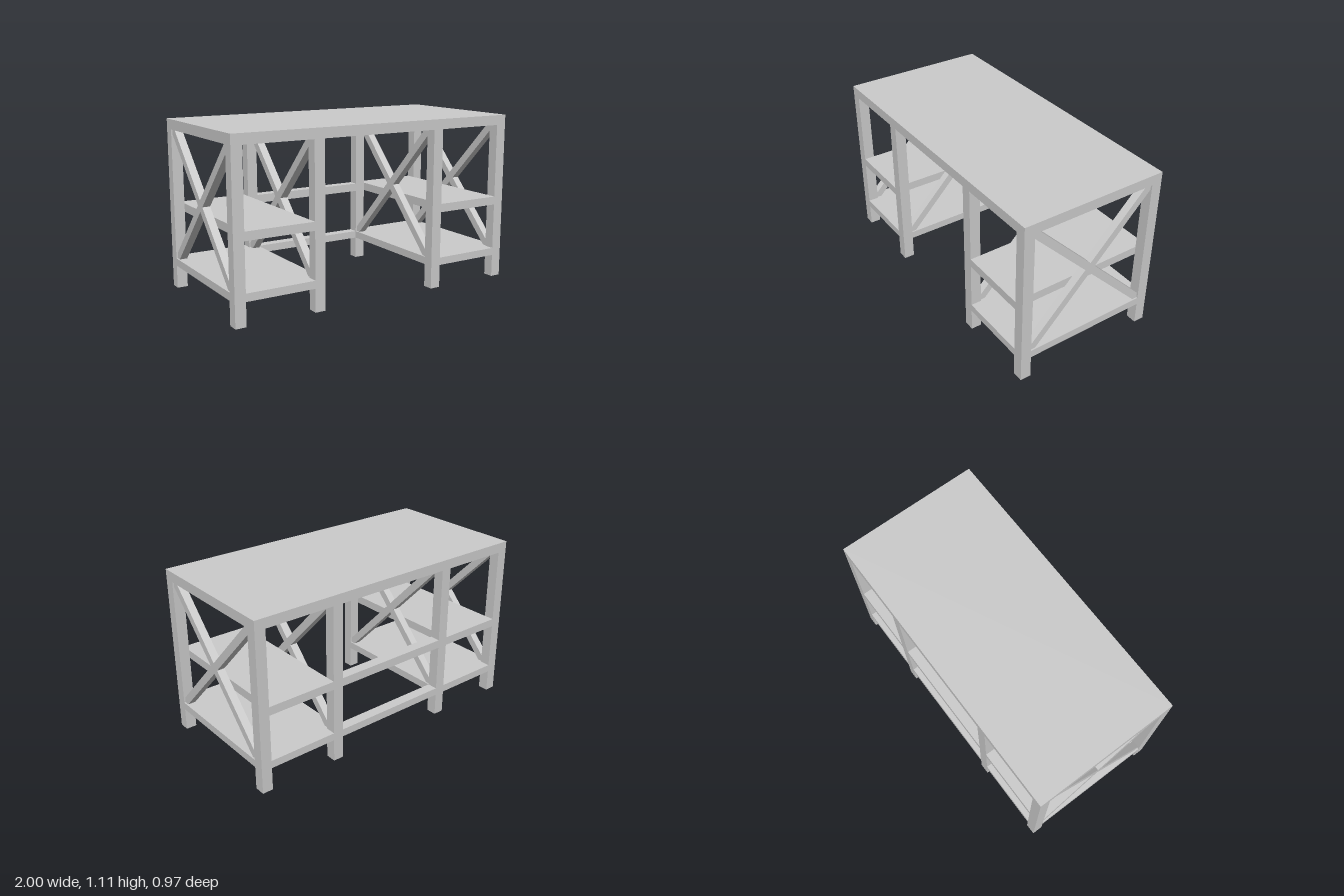
import * as THREE from 'three';

const H = 1.11, DEPTH = 0.97, POST = 0.07;
const POSTS_X = [-0.965, -0.44, 0.435, 0.965];   // centre of each leg frame
const SHELVES = [[0.15, 0.2], [0.505, 0.56]];    // bottom and top of each shelf level
const TOP_Y = 1.045;                             // underside of the tabletop
const INNER_Z = DEPTH / 2 - POST;

export function createModel() {
  const desk = new THREE.Group();
  desk.name = 'desk';
  const mat = new THREE.MeshStandardMaterial({ color: 0xcccccc, flatShading: true });

  const box = (name, x0, x1, y0, y1, z0, z1) => {
    const mesh = new THREE.Mesh(new THREE.BoxGeometry(x1 - x0, y1 - y0, z1 - z0), mat);
    mesh.position.set((x0 + x1) / 2, (y0 + y1) / 2, (z0 + z1) / 2);
    mesh.name = name;
    desk.add(mesh);
  };

  // Tabletop
  box('tabletop', -1, 1, TOP_Y, H, -DEPTH / 2, DEPTH / 2);

  // Diagonal brace, its ends cut flush with the legs, bottom rail and top
  const y0 = SHELVES[0][1], halfH = (TOP_Y - y0) / 2, cut = 0.035, thick = 0.05;
  const braceGeometry = (dir) => {
    const corners = [
      [-INNER_Z, -halfH], [-INNER_Z + cut, -halfH], [INNER_Z, halfH - cut],
      [INNER_Z, halfH], [INNER_Z - cut, halfH], [-INNER_Z, -halfH + cut],
    ];
    const shape = new THREE.Shape(corners.map(([z, y]) => new THREE.Vector2(z * dir, y)));
    return new THREE.ExtrudeGeometry(shape, { depth: thick, bevelEnabled: false })
      .translate(0, 0, -thick / 2)
      .rotateY(Math.PI / 2);
  };
  const braces = [braceGeometry(1), braceGeometry(-1)];

  // Four leg frames: two legs, a bottom rail and a crossed brace
  for (const x of POSTS_X) {
    const a = x - POST / 2, b = x + POST / 2;
    box('backLeg', a, b, 0, TOP_Y, -DEPTH / 2, -INNER_Z);
    box('frontLeg', a, b, 0, TOP_Y, INNER_Z, DEPTH / 2);
    box('bottomSideRail', a, b, ...SHELVES[0], -INNER_Z, INNER_Z);
    for (const geometry of braces) {
      const mesh = new THREE.Mesh(geometry, mat);
      mesh.position.set(x, y0 + halfH, 0);
      mesh.name = 'crossBrace';
      desk.add(mesh);
    }
  }

  // Shelves in the outer bays, back rails across the knee space
  for (const [low, high] of SHELVES) {
    for (const i of [0, 1, 2]) {
      const a = POSTS_X[i] + POST / 2, b = POSTS_X[i + 1] - POST / 2;
      if (i === 1) box('backRail', a, b, low, high, -DEPTH / 2, -INNER_Z);
      else box('shelf', a, b, low, high, -DEPTH / 2, DEPTH / 2);
    }
  }
  return desk;
}
